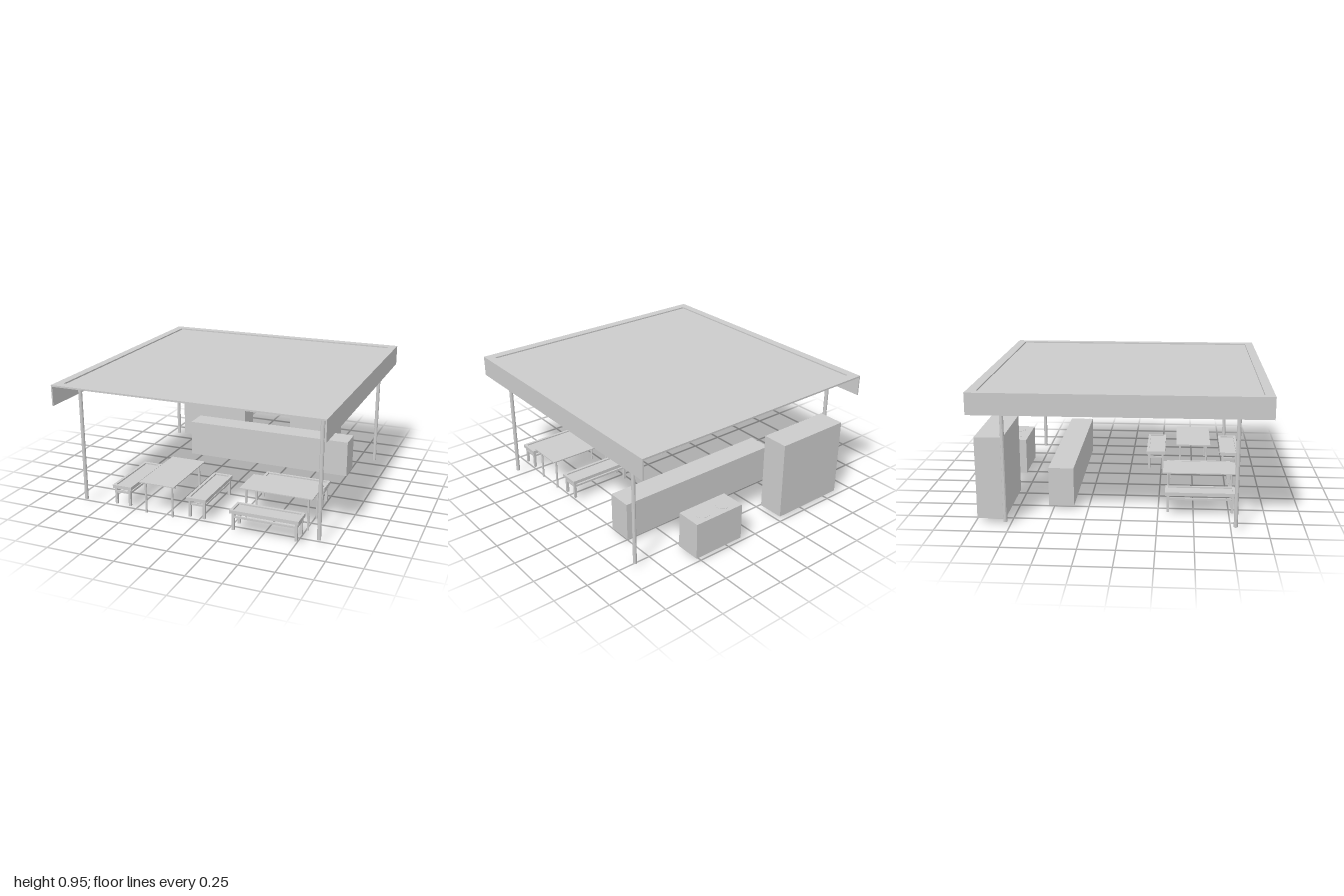
import * as THREE from 'three';

const material = new THREE.MeshStandardMaterial({ color: 0xcccccc, flatShading: true, side: THREE.DoubleSide });

// Box given by its minimum and maximum on each axis
function box(parent, name, x0, x1, y0, y1, z0, z1) {
  const mesh = new THREE.Mesh(new THREE.BoxGeometry(x1 - x0, y1 - y0, z1 - z0), material);
  mesh.position.set((x0 + x1) / 2, (y0 + y1) / 2, (z0 + z1) / 2);
  mesh.name = name;
  parent.add(mesh);
  return mesh;
}

// Upright cylinder from y0 to y1
function pole(parent, name, x, z, y0, y1, radius, sides) {
  const mesh = new THREE.Mesh(new THREE.CylinderGeometry(radius, radius, y1 - y0, sides), material);
  mesh.position.set(x, (y0 + y1) / 2, z);
  mesh.name = name;
  parent.add(mesh);
}

// Horizontal rectangular ring: outer half sizes a, c and inner half sizes b, d
function frame(parent, name, a, c, b, d, y0, y1) {
  const rect = (path, hx, hz) => path.moveTo(-hx, -hz).lineTo(hx, -hz).lineTo(hx, hz).lineTo(-hx, hz).closePath();
  const shape = rect(new THREE.Shape(), a, c);
  shape.holes.push(rect(new THREE.Path(), b, d));
  const geometry = new THREE.ExtrudeGeometry(shape, { depth: y1 - y0, bevelEnabled: false });
  geometry.rotateX(-Math.PI / 2);
  const mesh = new THREE.Mesh(geometry, material);
  mesh.position.y = y0;
  mesh.name = name;
  parent.add(mesh);
}

function corners(hx, hz, place) {
  for (const sx of [-1, 1]) for (const sz of [-1, 1]) place(sx * hx, sz * hz);
}

// Table with its long side along x
function createTable() {
  const table = new THREE.Group();
  table.name = 'table';
  box(table, 'tableTop', -0.265, 0.265, 0.24, 0.247, -0.135, 0.135);
  corners(0.228, 0.104, (x, z) => pole(table, 'tableLeg', x, z, 0, 0.24, 0.008, 10));
  return table;
}

// Bench with a raised rim around a sunken seat, long side along x
function createBench() {
  const bench = new THREE.Group();
  bench.name = 'bench';
  const hx = 0.245, hz = 0.074, lx = 0.225, lz = 0.054, t = 0.009;
  frame(bench, 'seatRim', hx, hz, hx - 0.02, hz - 0.02, 0.155, 0.18);
  box(bench, 'seat', -lx, lx, 0.165, 0.17, -lz, lz);
  corners(lx, lz, (x, z) => box(bench, 'benchLeg', x - t, x + t, 0.03, 0.155, z - t, z + t));
  for (const s of [-1, 1]) {
    box(bench, 'longStretcher', -lx + t, lx - t, 0.12, 0.135, s * lz - 0.006, s * lz + 0.006);
    box(bench, 'endStretcher', s * lx - 0.006, s * lx + 0.006, 0.12, 0.135, -lz + t, lz - t);
  }
  return bench;
}

function place(parent, part, x, z, turned) {
  part.position.set(x, 0, z);
  if (turned) part.rotation.y = Math.PI / 2;
  parent.add(part);
}

export function createModel() {
  const model = new THREE.Group();
  model.name = 'pavilion';

  // Roof: rim, sunken panel, and fascias on the two sides
  const roof = new THREE.Group();
  roof.name = 'roof';
  model.add(roof);
  frame(roof, 'roofRim', 0.978, 1, 0.917, 0.935, 0.938, 0.95);
  box(roof, 'roofPanel', -0.917, 0.917, 0.936, 0.94, -0.935, 0.935);
  for (const s of [-1, 1]) {
    const x = s * 0.973;
    box(roof, 'fascia', x - 0.005, x + 0.005, 0.8, 0.95, -1, 1);
  }

  // Posts and the beams between them
  const px = 0.89, pz = 0.78;
  corners(px, pz, (x, z) => pole(model, 'post', x, z, 0.03, 0.938, 0.014, 10));
  for (const s of [-1, 1]) {
    box(model, 'crossBeam', -px, px, 0.9, 0.918, s * pz - 0.009, s * pz + 0.009);
    box(model, 'sideBeam', s * px - 0.009, s * px + 0.009, 0.9, 0.918, -pz, pz);
  }

  // Kitchen units at the back
  box(model, 'tallCabinet', -0.84, -0.26, 0.03, 0.61, -0.985, -0.79);
  box(model, 'counter', -0.565, 0.77, 0.03, 0.31, -0.53, -0.35);
  box(model, 'stove', 0.14, 0.54, 0.03, 0.3, -1, -0.815);
  for (const x of [0.25, 0.43]) pole(model, 'burner', x, -0.92, 0.298, 0.302, 0.05, 24);

  // Two dining sets, one along z and one along x
  place(model, createTable(), -0.295, 0.545, true);
  for (const x of [-0.585, 0]) place(model, createBench(), x, 0.545, true);
  place(model, createTable(), 0.532, 0.507, false);
  for (const z of [0.208, 0.798]) place(model, createBench(), 0.53, z, false);

  return model;
}
